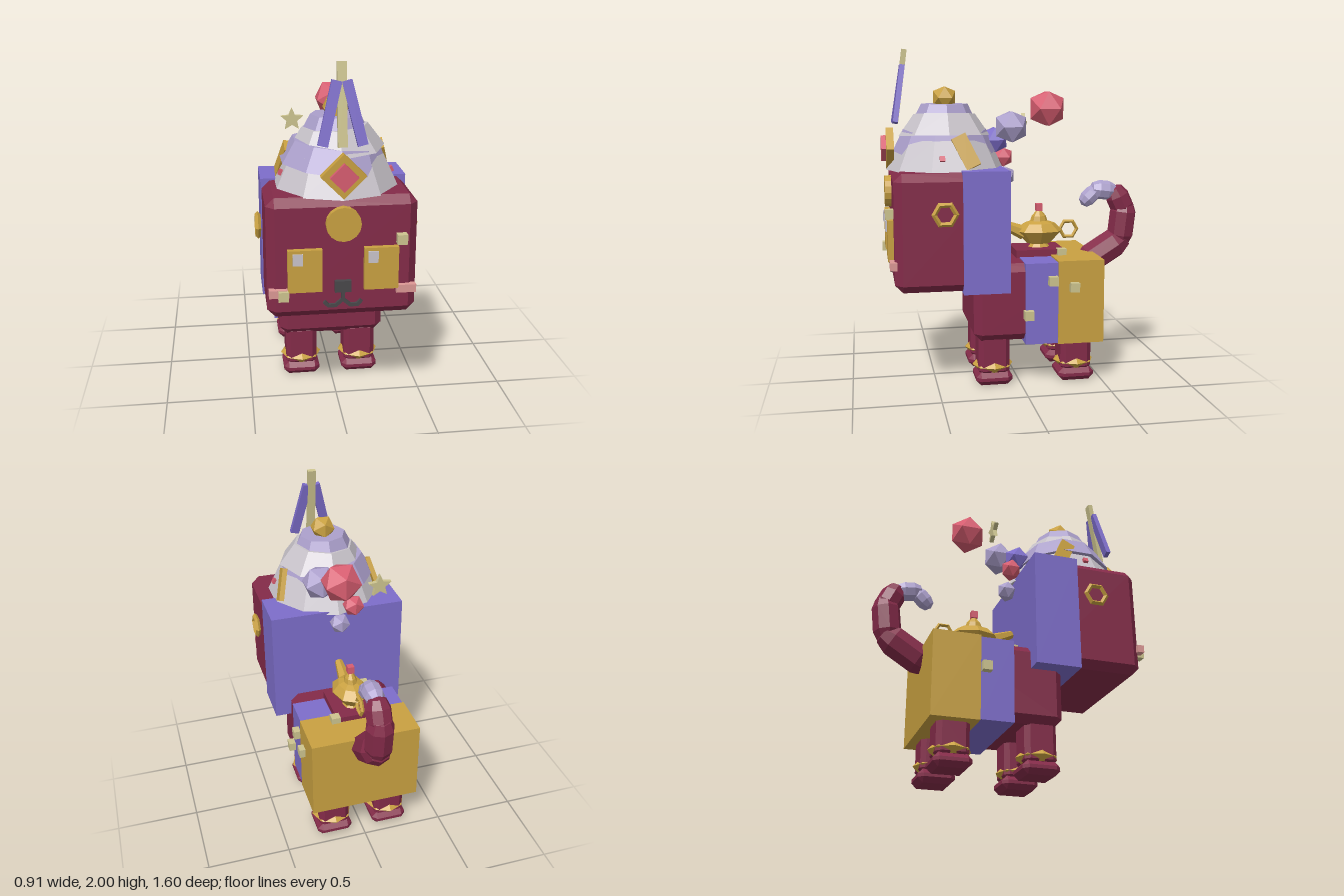
import * as THREE from 'three';
import { ConvexGeometry } from 'three/addons/geometries/ConvexGeometry.js';

const colour = (name, hex) => {
  const m = new THREE.MeshStandardMaterial({ color: hex });
  m.name = name;
  return m;
};

// faceted normals for low-poly shapes
function flat(geo) {
  const g = geo.index ? geo.toNonIndexed() : geo;
  g.computeVertexNormals();
  return g;
}

// box with every edge cut at 45 degrees
function chamferBox(w, h, d, c) {
  const pts = [];
  for (const sx of [-1, 1]) for (const sy of [-1, 1]) for (const sz of [-1, 1]) {
    const [x, y, z] = [w / 2, h / 2, d / 2];
    pts.push(new THREE.Vector3(sx * x, sy * (y - c), sz * (z - c)));
    pts.push(new THREE.Vector3(sx * (x - c), sy * y, sz * (z - c)));
    pts.push(new THREE.Vector3(sx * (x - c), sy * (y - c), sz * z));
  }
  return new ConvexGeometry(pts);
}

export function createModel() {
  const maroon = colour('maroon', 0x842b49), blue = colour('blue violet', 0x7d6dca);
  const gold = colour('gold', 0xc9a141), cream = colour('cream', 0xcdc48f);
  const lavender = colour('lavender', 0xaca0cc), pale = colour('pale grey', 0xc9c4cb);
  const red = colour('coral red', 0xd75d70), pink = colour('blush pink', 0xdc9895);
  const dark = colour('charcoal', 0x48474a);

  const root = new THREE.Group();
  root.name = 'catFigure';
  const add = (name, geo, mat, x = 0, y = 0, z = 0, rx = 0, ry = 0, rz = 0) => {
    const m = new THREE.Mesh(flat(geo), mat);
    m.name = name;
    m.position.set(x, y, z);
    m.rotation.set(rx, ry, rz);
    root.add(m);
    return m;
  };
  const box = (w, h, d) => new THREE.BoxGeometry(w, h, d);
  const vec = (x, y, z) => new THREE.Vector3(x, y, z);
  // rod or capsule laid between two points
  const between = (name, a, b, mat, make) => {
    const dir = b.clone().sub(a);
    const m = add(name, make(dir.length()), mat);
    m.position.copy(a).add(b).multiplyScalar(0.5);
    m.quaternion.setFromUnitVectors(vec(0, 1, 0), dir.normalize());
    return m;
  };

  // body and blankets
  add('body', chamferBox(0.63, 0.465, 0.73, 0.045), maroon, 0, 0.512, -0.08);
  add('blueBlanket', box(0.66, 0.49, 0.2), blue, 0, 0.505, -0.118);
  add('goldBlanket', box(0.67, 0.505, 0.28), gold, 0, 0.507, -0.355);

  // legs, anklets and feet
  for (const x of [-0.18, 0.18]) for (const z of [0.16, -0.345]) {
    add('leg', chamferBox(0.19, 0.26, 0.19, 0.028), maroon, x, 0.19, z);
    add('anklet', new THREE.TorusGeometry(0.091, 0.033, 4, 8), gold, x, 0.11, z, Math.PI / 2);
    add('foot', chamferBox(0.22, 0.08, 0.22, 0.03), maroon, x, 0.04, z);
  }

  // head and its hood
  add('head', chamferBox(0.82, 0.682, 0.64, 0.046), maroon, 0, 0.955, 0.426);
  add('hood', box(0.832, 0.707, 0.272), blue, 0, 0.953, 0.223);

  // face
  add('foreheadDisc', new THREE.CylinderGeometry(0.095, 0.095, 0.04, 16), gold, 0, 1.16, 0.763, Math.PI / 2);
  for (const s of [-1, 1]) {
    add('eye', box(0.187, 0.24, 0.035), gold, s * 0.207, 0.903, 0.762);
    add('eyeHighlight', box(0.055, 0.065, 0.025), pale, s * 0.203 - 0.043, 0.973, 0.776);
    add('cheek', box(0.11, 0.045, 0.04), pink, s * 0.347, 0.775, 0.753);
    const mouth = [[0, 0.785], [0, 0.725], [0.04, 0.69], [0.08, 0.69], [0.1, 0.712]];
    for (let i = 0; i < 4; i++) {
      between('mouth', vec(s * mouth[i][0], mouth[i][1], 0.75), vec(s * mouth[i + 1][0], mouth[i + 1][1], 0.75),
        dark, l => box(0.019, l + 0.008, 0.024));
    }
    add('earring', new THREE.TorusGeometry(0.063, 0.016, 4, 6), gold, s * 0.44, 1.07, 0.463, 0, Math.PI / 2);
  }
  add('nose', box(0.09, 0.065, 0.04), dark, 0, 0.803, 0.752);

  // turban: stacked leaning tiers
  const tiers = [
    [0.355, 0.27, 1.29, 1.47, pale, 0, 10], [0.312, 0.25, 1.4, 1.53, lavender, -0.1, 10],
    [0.275, 0.185, 1.49, 1.62, pale, 0.05, 8], [0.18, 0.14, 1.6, 1.68, lavender, -0.02, 8],
  ];
  for (const [r0, r1, y0, y1, mat, lean, sides] of tiers) {
    add('turbanTier', new THREE.CylinderGeometry(r1, r0, y1 - y0, sides), mat, 0, (y0 + y1) / 2, 0.418, 0, 0, lean);
  }
  add('turbanBall', new THREE.IcosahedronGeometry(0.078, 0), gold, 0, 1.715, 0.418);

  // brooch and plumes
  add('broochFrame', box(0.172, 0.172, 0.045), gold, 0, 1.418, 0.748, 0, 0, Math.PI / 4);
  add('broochGem', box(0.108, 0.108, 0.03), red, 0, 1.418, 0.784, 0, 0, Math.PI / 4);
  add('centrePlume', box(0.05, 0.44, 0.03), cream, 0, 1.78, 0.682, -0.135);
  for (const s of [-1, 1]) {
    add('sidePlume', box(0.055, 0.345, 0.03), blue, s * 0.066, 1.737, 0.692, -0.15, 0, s * 0.235);
    add('turbanPin', box(0.03, 0.2, 0.09), gold, s * 0.29, 1.41, 0.325, 0.45, 0, s * 0.25);
    add('turbanBead', box(0.03, 0.03, 0.03), red, s * 0.305, 1.37, 0.463, 0, 0, s * 0.4);
  }

  // pompons trailing behind the head
  for (const [r, x, y, z, mat] of [
    [0.12, 0.067, 1.65, -0.198, red], [0.106, 0.13, 1.545, 0.035, lavender], [0.088, -0.03, 1.46, 0.11, blue],
    [0.068, -0.085, 1.35, 0.05, red], [0.065, 0, 1.24, 0.05, lavender],
  ]) add('pompon', new THREE.IcosahedronGeometry(r, 0), mat, x, y, z);

  // little star
  const star = new THREE.Shape();
  for (let i = 0; i < 10; i++) {
    const r = i % 2 ? 0.033 : 0.072, a = Math.PI / 2 + i * Math.PI / 5;
    star[i ? 'lineTo' : 'moveTo'](r * Math.cos(a), r * Math.sin(a));
  }
  add('star', new THREE.ExtrudeGeometry(star, { depth: 0.026, bevelEnabled: false }), cream, -0.195, 1.545, -0.115);

  // cushion and oil lamp
  add('cushion', box(0.25, 0.05, 0.3), maroon, 0, 0.767, -0.15);
  const profile = [[0, 0.79], [0.07, 0.79], [0.05, 0.812], [0.075, 0.815], [0.152, 0.893], [0.1, 0.94],
    [0.055, 0.955], [0.045, 0.985], [0.015, 1.02], [0, 1.02]];
  add('lampBowl', new THREE.LatheGeometry(profile.map(p => new THREE.Vector2(...p)), 8), gold, 0, 0, -0.165)
    .scale.x = 0.74;
  between('lampSpout', vec(0, 0.88, -0.07), vec(0, 0.945, 0.08), gold, l => new THREE.CylinderGeometry(0.025, 0.045, l, 6));
  add('lampHandle', new THREE.TorusGeometry(0.055, 0.012, 4, 6), gold, 0, 0.897, -0.355, 0, Math.PI / 2);
  add('lampKnob', box(0.04, 0.045, 0.04), red, 0, 1.04, -0.165);

  // tail with a pale tip
  for (const [z0, y0, z1, y1, r, mat] of [
    [-0.5, 0.7, -0.66, 0.8, 0.095, maroon], [-0.695, 0.85, -0.712, 1, 0.085, maroon],
    [-0.705, 1.03, -0.672, 1.1, 0.075, maroon], [-0.61, 1.135, -0.55, 1.142, 0.06, lavender],
    [-0.51, 1.12, -0.475, 1.085, 0.052, lavender],
  ]) between('tailSegment', vec(0, y0, z0), vec(0, y1, z1), mat, l => new THREE.CapsuleGeometry(r, l, 2, 8));

  // scattered cream studs
  for (const [x, y, z] of [
    [0.317, 1.065, 0.765], [-0.325, 0.767, 0.768], [0.343, 0.645, -0.18], [0.343, 0.603, -0.31],
    [0.343, 0.443, -0.035], [-0.347, 0.565, -0.185], [-0.15, 0.77, 0.03], [0.13, 0.77, -0.28],
  ]) add('stud', box(0.055, 0.055, 0.055), cream, x, y, z);

  return root;
}
